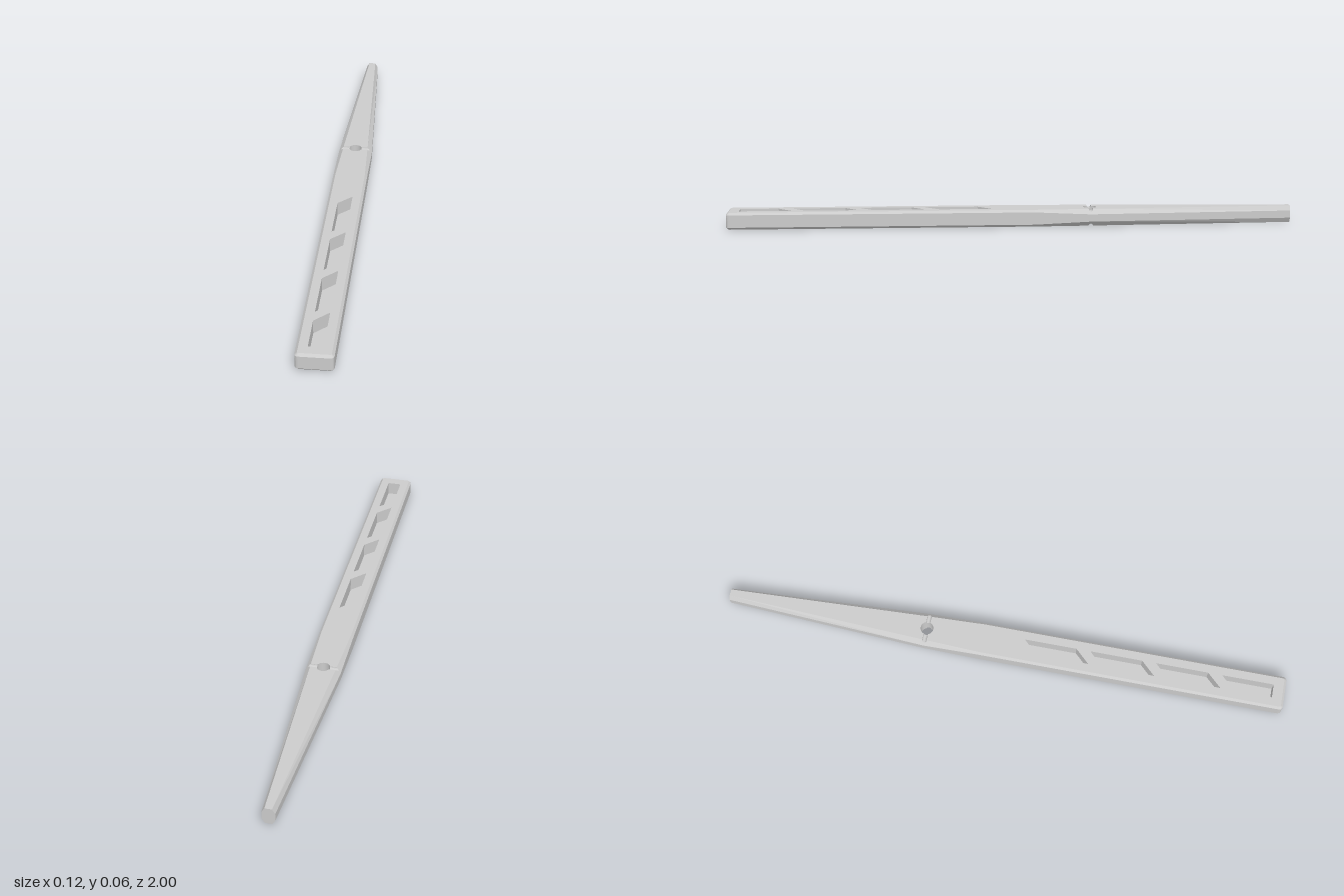
import * as THREE from 'three';

const H = 0.06;                           // overall thickness
const PIVOT = -0.28, HOLE = 0.023, GROOVE = 0.008;
const CHAMFER = 0.008, CORNER = 0.013, HALF = 0.061;
const lerp = THREE.MathUtils.lerp;
const material = new THREE.MeshStandardMaterial({ color: 0xcccccc });

// Depth of the cross groove at a given z
const grooveDepth = z => Math.sqrt(Math.max(0, GROOVE ** 2 - (z - PIVOT) ** 2));

// Section of the bar: outer and inner half widths, chamfer height, groove depth
function station(z) {
  let xo = HALF, xi, ye;
  if (z < PIVOT) {
    const t = (z + 1) / (PIVOT + 1);
    xo = lerp(0.022, HALF, t);
    xi = lerp(0.012, 0.045, t);
    ye = 0.017;
  } else {
    const t = Math.min(1, (z - PIVOT) / 0.2);
    xi = lerp(0.045, HALF - CHAMFER, t);
    ye = lerp(0.017, CHAMFER, t);
  }
  const d = grooveDepth(z);
  return { xo, xi: lerp(xi, xo, d / ye), zo: z, zi: z, ye, d };
}

// Flat-faced mesh from quads given as four [x, y, z] corners
function quadMesh(name, quads) {
  const pos = [];
  for (const [a, b, c, d] of quads) pos.push(...a, ...b, ...c, ...a, ...c, ...d);
  const geo = new THREE.BufferGeometry();
  geo.setAttribute('position', new THREE.Float32BufferAttribute(pos, 3));
  geo.computeVertexNormals();
  const mesh = new THREE.Mesh(geo, material);
  mesh.name = name;
  return mesh;
}

// Horizontal face from [x, z] points, facing up or down
function plate(name, points, y, up, holes = []) {
  const s = up ? -1 : 1;
  const toVec = pts => pts.map(([x, z]) => new THREE.Vector2(x, s * z));
  const shape = new THREE.Shape(toVec(points));
  for (const h of holes) shape.holes.push(new THREE.Path(toVec(h)));
  const geo = new THREE.ShapeGeometry(shape).rotateX(s * Math.PI / 2);
  const mesh = new THREE.Mesh(geo, material);
  mesh.position.y = y;
  mesh.name = name;
  return mesh;
}

export function createModel() {
  const group = new THREE.Group();
  group.name = 'taperedHandle';

  // Stations along one side, from the narrow tip to the rounded butt
  const groove = [];
  for (let i = 0; i <= 10; i++) groove.push(station(PIVOT - GROOVE * Math.cos(i / 10 * Math.PI)));
  const butt = [];
  for (let i = 0; i <= 8; i++) {
    const a = i / 8 * Math.PI / 2, c = Math.cos(a), s = Math.sin(a), r = CORNER - CHAMFER;
    butt.push({
      xo: HALF - CORNER + CORNER * c, zo: 1 - CORNER + CORNER * s,
      xi: HALF - CORNER + r * c, zi: 1 - CORNER + r * s, ye: CHAMFER, d: 0,
    });
  }
  const back = [station(-1), groove[0]];
  const front = [groove[10], station(-0.08), ...butt];
  const side = [back[0], ...groove, ...front.slice(1)];
  const flip = list => [...list].reverse().map(p => ({ ...p, xo: -p.xo, xi: -p.xi }));

  // Chamfered outer wall around the whole outline
  const loop = [...side, ...flip(side)];
  const levels = p => [
    [p.xi, p.d, p.zi], [p.xo, p.ye, p.zo], [p.xo, H - p.ye, p.zo], [p.xi, H - p.d, p.zi],
  ];
  const walls = [];
  loop.forEach((p, i) => {
    const a = levels(p), b = levels(loop[(i + 1) % loop.length]);
    for (let k = 0; k < 3; k++) walls.push([a[k], a[k + 1], b[k + 1], b[k]]);
  });
  group.add(quadMesh('outerWall', walls));

  // Slanted pockets sunk into the grip; the last one is squared off
  const w = 0.024, floorY = 0.012, pockets = [];
  for (let i = 0; i < 4; i++) {
    const z = 0.07 + i * 0.235, end = i === 3;
    pockets.push([[w, z], [w, end ? 0.957 : z + 0.185], [-w, end ? 0.957 : z + 0.235], [-w, z + 0.048]]);
  }
  for (const pts of pockets) {
    group.add(plate('pocketFloor', pts, floorY, true));
    group.add(quadMesh('pocketWall', pts.map(([x, z], i) => {
      const [x2, z2] = pts[(i + 1) % 4];
      return [[x2, floorY, z2], [x2, H, z2], [x, H, z], [x, floorY, z]];
    })));
  }

  // Flat faces on either side of the groove, cut round the pivot hole
  const arc = sign => {
    const start = Math.asin(GROOVE / HOLE), pts = [];
    for (let i = 0; i <= 20; i++) {
      const t = lerp(Math.PI - start, start, i / 20);
      pts.push([HOLE * Math.cos(t), PIVOT + sign * HOLE * Math.sin(t)]);
    }
    return pts;
  };
  const inner = list => list.map(p => [p.xi, p.zi]);
  const gripOutline = [...inner(front), ...inner(flip(front)), ...arc(1)];
  const tipOutline = [...inner([...back].reverse()), ...inner(flip([...back].reverse())), ...arc(-1)];
  group.add(plate('gripTop', gripOutline, H, true, pockets));
  group.add(plate('gripBottom', gripOutline, 0, false));
  group.add(plate('tipTop', tipOutline, H, true));
  group.add(plate('tipBottom', tipOutline, 0, false));

  // Round cross grooves on both faces, left and right of the hole
  const strips = [];
  const holeX = z => Math.sqrt(HOLE ** 2 - (z - PIVOT) ** 2);
  for (let i = 0; i < 10; i++) {
    const p = groove[i], q = groove[i + 1];
    for (const sx of [1, -1]) for (const top of [true, false]) {
      const at = (x, s) => [sx * x, top ? H - s.d : s.d, s.zi];
      const quad = [at(holeX(p.zi), p), at(holeX(q.zi), q), at(q.xi, q), at(p.xi, p)];
      strips.push((sx > 0) === top ? quad : quad.reverse());
    }
  }
  group.add(quadMesh('crossGrooves', strips));

  // Pivot hole wall, its rims following the grooves
  const wall = new THREE.CylinderGeometry(HOLE, HOLE, H, 64, 1, true);
  const pos = wall.attributes.position;
  for (let i = 0; i < pos.count; i++) {
    const d = grooveDepth(pos.getZ(i) + PIVOT);
    pos.setY(i, pos.getY(i) > 0 ? H - d : d);
  }
  const holeMaterial = material.clone();
  holeMaterial.side = THREE.DoubleSide;
  const hole = new THREE.Mesh(wall, holeMaterial);
  hole.position.z = PIVOT;
  hole.name = 'pivotHole';
  group.add(hole);

  return group;
}
